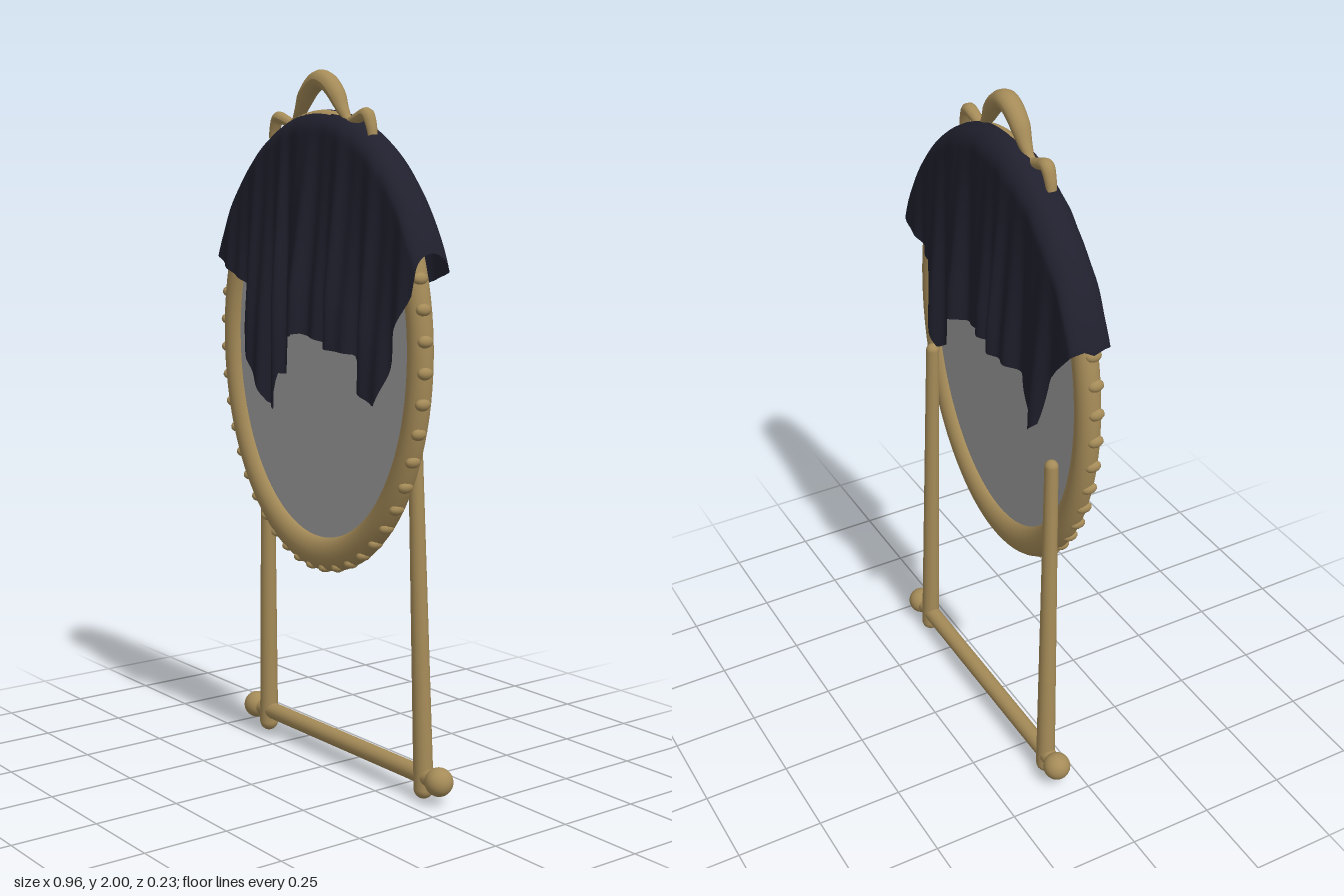
import * as THREE from 'three';

const gold = new THREE.MeshStandardMaterial({ color: 0xa58b58 });
gold.name = 'antique gold';
const glass = new THREE.MeshStandardMaterial({ color: 0xa0a0a0 });
glass.name = 'mirror grey';
const fabric = new THREE.MeshStandardMaterial({ color: 0x20202e, side: THREE.DoubleSide });
fabric.name = 'dark cloth';

const CY = 1.24; // height of the oval's centre

function add(parent, name, geometry, material, x = 0, y = 0, z = 0) {
  const mesh = new THREE.Mesh(geometry, material);
  mesh.name = name;
  mesh.position.set(x, y, z);
  parent.add(mesh);
  return mesh;
}

// Linear interpolation through [x, y] pairs
function along(points, x) {
  if (x <= points[0][0]) return points[0][1];
  for (let i = 1; i < points.length; i++) {
    const [x0, y0] = points[i - 1], [x1, y1] = points[i];
    if (x <= x1) return y0 + (y1 - y0) * (x - x0) / (x1 - x0);
  }
  return points[points.length - 1][1];
}

// Round rod with domed ends between two points
function rod(parent, name, a, b, ra, rb) {
  const A = new THREE.Vector3(...a), B = new THREE.Vector3(...b);
  const dir = B.clone().sub(A);
  const group = new THREE.Group();
  group.name = name;
  const shaft = add(group, name + 'Shaft', new THREE.CylinderGeometry(rb, ra, dir.length(), 20, 1, true), gold);
  shaft.position.copy(A).addScaledVector(dir, 0.5);
  shaft.quaternion.setFromUnitVectors(new THREE.Vector3(0, 1, 0), dir.normalize());
  add(group, name + 'EndA', new THREE.SphereGeometry(ra, 20, 12), gold, ...a);
  add(group, name + 'EndB', new THREE.SphereGeometry(rb, 20, 12), gold, ...b);
  parent.add(group);
}

// Tube whose thickness follows a list of [fraction, radius] pairs
function taperedTube(curve, radii, depth) {
  const n = 96, sides = 14;
  const geo = new THREE.TubeGeometry(curve, n, 1, sides);
  const p = geo.attributes.position, v = new THREE.Vector3();
  for (let i = 0; i <= n; i++) {
    const c = curve.getPointAt(i / n), r = along(radii, i / n);
    for (let j = 0; j <= sides; j++) {
      const k = i * (sides + 1) + j;
      v.fromBufferAttribute(p, k).sub(c).multiplyScalar(r);
      v.z *= depth;
      v.add(c);
      p.setXYZ(k, v.x, v.y, v.z);
    }
  }
  geo.computeVertexNormals();
  return geo;
}

// Hem heights of the cloth across the width
const FRONT_HEM = [[-0.475, 1.48], [-0.285, 1.385], [-0.275, 1.19], [-0.2, 1.06], [-0.17, 1.04], [-0.145, 1.055],
  [-0.125, 1.15], [-0.1, 1.15], [-0.09, 1.255], [0.01, 1.275], [0.13, 1.24], [0.215, 1.23], [0.24, 1.14],
  [0.315, 1.1], [0.36, 1.2], [0.39, 1.29], [0.45, 1.4], [0.462, 1.46]];
const BACK_HEM = [[-0.475, 1.49], [-0.36, 1.36], [-0.33, 1.21], [-0.29, 1.17], [-0.255, 1.22], [-0.225, 1.3],
  [0, 1.32], [0.16, 1.3], [0.19, 1.18], [0.25, 1.14], [0.285, 1.2], [0.295, 1.4], [0.462, 1.46]];

const bump = (x, c, w) => Math.exp(-(((x - c) / w) ** 2));

function clothGeometry() {
  const cols = 160, rows = 34; // rows on each side of the ridge
  const pos = [], index = [];
  for (let i = 0; i <= cols; i++) {
    const x = -0.475 + 0.937 * i / cols;
    const top = CY + 0.65 * Math.sqrt(1 - (x / 0.508) ** 2);
    for (let j = -rows; j <= rows; j++) {
      const front = j > 0;
      const hem = Math.min(along(front ? FRONT_HEM : BACK_HEM, x), top);
      const d = (top - hem) * (Math.abs(j) / rows) ** 1.5;
      const q = Math.min(1, d / 0.06);
      const round = Math.sqrt(1 - (1 - q) ** 2);
      // folds deepen as the cloth falls
      const fall = Math.min(1, d / 0.5);
      let z;
      if (front) {
        const fold = 0.014 * Math.sin(x * 47 + 0.8) + 0.008 * Math.sin(x * 93 + d * 4)
          + 0.045 * bump(x, -0.03, 0.035) + 0.015 * bump(x, 0.12, 0.08) - 0.02 * bump(x, -0.1, 0.02);
        z = round * 0.058 + fall * (0.017 + fold);
      } else {
        const fold = 0.012 * Math.sin(x * 43 + 2) + 0.006 * Math.sin(x * 88 - d * 5)
          + 0.035 * bump(x, -0.1, 0.03) + 0.015 * bump(x, 0.14, 0.05);
        z = -round * 0.058 - fall * (0.014 + fold);
      }
      pos.push(x, top - d, z - 0.013);
    }
  }
  const w = 2 * rows + 1;
  for (let i = 0; i < cols; i++) {
    for (let j = 0; j < w - 1; j++) {
      const a = i * w + j, b = a + w;
      index.push(a, b, a + 1, b, b + 1, a + 1);
    }
  }
  const geo = new THREE.BufferGeometry();
  geo.setAttribute('position', new THREE.Float32BufferAttribute(pos, 3));
  geo.setIndex(index);
  geo.computeVertexNormals();
  return geo;
}

export function createModel() {
  const model = new THREE.Group();
  model.name = 'standingMirror';

  // Oval frame and glass
  const frame = add(model, 'ovalFrame', new THREE.TorusGeometry(1, 0.083, 20, 96), gold, 0, CY, 0);
  frame.scale.set(0.432, 0.6, 0.42);
  const disc = new THREE.CylinderGeometry(1, 1, 0.016, 72).rotateX(Math.PI / 2);
  add(model, 'mirrorGlass', disc, glass, 0, CY, 0).scale.set(0.415, 0.575, 1);

  // Beads around the outer rim, left open at the top
  const beads = new THREE.Group();
  beads.name = 'rimBeads';
  const beadGeo = new THREE.SphereGeometry(1, 12, 8);
  for (let i = 0; i < 48; i++) {
    const a = (i + 0.5) / 48 * Math.PI * 2;
    if (Math.sin(a) > 0.4) continue;
    const bead = add(beads, 'rimBead', beadGeo, gold, 0.462 * Math.cos(a), CY + 0.638 * Math.sin(a), 0.008);
    bead.scale.set(0.015, 0.017, 0.024);
    bead.rotation.z = a;
  }
  model.add(beads);

  // Crest on top: a peaked arch with a small shoulder on each side
  const half = [[0.23, 1.815], [0.222, 1.845], [0.205, 1.873], [0.17, 1.865], [0.13, 1.855], [0.1, 1.885], [0.065, 1.935]];
  const points = [...half.map(([x, y]) => [-x, y]), [-0.03, 1.963], [0, 1.972], [0.03, 1.963], ...half.slice().reverse()]
    .map(([x, y]) => new THREE.Vector3(x, y, 0.002));
  const crest = new THREE.CatmullRomCurve3(points, false, 'centripetal');
  const radii = [[0, 0.012], [0.1, 0.017], [0.25, 0.012], [0.36, 0.023], [0.5, 0.027],
    [0.64, 0.023], [0.75, 0.012], [0.9, 0.017], [1, 0.012]];
  add(model, 'crest', taperedTube(crest, radii, 1.15), gold);

  // Stand: two leaning legs, a floor bar and ball ends
  rod(model, 'floorBar', [-0.44, 0.065, -0.073], [0.44, 0.065, -0.073], 0.025, 0.025);
  for (const [side, s] of [['left', 1], ['right', -1]]) {
    rod(model, side + 'Leg', [s * 0.374, 0.028, -0.073], [s * 0.346, 1.072, -0.054], 0.028, 0.019);
    add(model, side + 'BallEnd', new THREE.SphereGeometry(0.04, 24, 16), gold, s * 0.439, 0.065, -0.073);
  }

  // Cloth hung over the top
  add(model, 'drapedCloth', clothGeometry(), fabric);

  return model;
}
